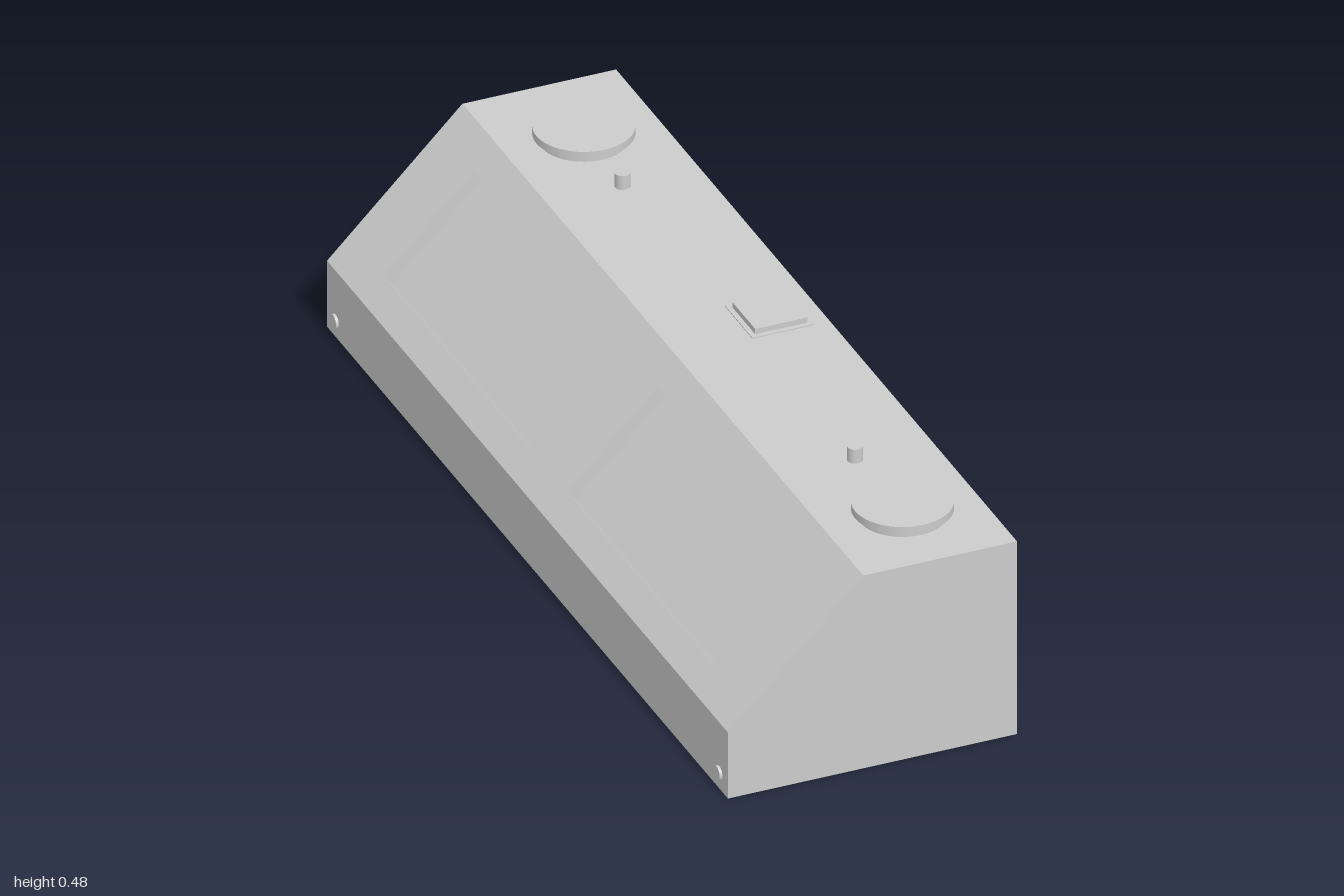
import * as THREE from 'three';

const TOP = 0.447;
const material = new THREE.MeshStandardMaterial({ color: 0xcccccc });

function add(parent, name, geometry, x, y, z) {
  const mesh = new THREE.Mesh(geometry, material);
  mesh.name = name;
  mesh.position.set(x, y, z);
  parent.add(mesh);
  return mesh;
}

// Console shell: wedge cross-section run along z, with two recesses in the slope
function shellGeometry() {
  const pos = [];
  const tri = (...corners) => corners.forEach(c => pos.push(...c));

  // Faces following a counter-clockwise profile from z0 to z1
  const strip = (points, z0, z1) => {
    for (let i = 0; i + 1 < points.length; i++) {
      const a = points[i], b = points[i + 1];
      tri([...a, z0], [...b, z0], [...b, z1]);
      tri([...a, z0], [...b, z1], [...a, z1]);
    }
  };
  // Flat convex end at z, facing +z or -z
  const cap = (points, z, facing) => {
    for (let i = 1; i + 1 < points.length; i++) {
      const p = points[0], q = points[i], r = points[i + 1];
      if (facing > 0) tri([...p, z], [...q, z], [...r, z]);
      else tri([...p, z], [...r, z], [...q, z]);
    }
  };

  const slopeTop = [-0.018, TOP], slopeBottom = [-0.312, 0.153];
  const outline = [slopeBottom, [-0.312, 0], [0.316, 0], [0.316, TOP], slopeTop];
  const onSlope = x => [x, x + 0.465];
  const sink = ([x, y]) => [x + 0.022, y - 0.022];
  const upper = onSlope(-0.068), lower = onSlope(-0.265);
  const notch = [upper, sink(upper), sink(lower), lower];

  strip(outline, -1, 1);
  cap(outline, 1, 1);
  cap(outline, -1, -1);

  // Slope borders above, below and between the recesses
  strip([slopeTop, upper], -1, 1);
  strip([lower, slopeBottom], -1, 1);
  for (const [z0, z1] of [[-1, -0.828], [-0.087, 0.087], [0.828, 1]]) strip([upper, lower], z0, z1);

  // Recess walls and floors
  for (const [z0, z1] of [[-0.828, -0.087], [0.087, 0.828]]) {
    strip(notch, z0, z1);
    cap([...notch].reverse(), z0, 1);
    cap([...notch].reverse(), z1, -1);
  }

  const geometry = new THREE.BufferGeometry();
  geometry.setAttribute('position', new THREE.Float32BufferAttribute(pos, 3));
  geometry.computeVertexNormals();
  return geometry;
}

export function createModel() {
  const model = new THREE.Group();
  model.name = 'console';
  add(model, 'shell', shellGeometry(), 0, 0, 0);

  // Round platters on short pedestals
  for (const z of [-0.78, 0.81]) {
    const dial = new THREE.Group();
    dial.name = 'dial';
    dial.position.set(0.15, TOP, z);
    add(dial, 'dialBase', new THREE.CylinderGeometry(0.091, 0.091, 0.013, 48), 0, 0.0065, 0);
    add(dial, 'dialTop', new THREE.CylinderGeometry(0.103, 0.103, 0.017, 48), 0, 0.0215, 0);
    model.add(dial);
  }

  for (const side of [-1, 1]) {
    // Small upright pegs
    add(model, 'peg', new THREE.CylinderGeometry(0.016, 0.016, 0.032, 24), 0.147, TOP + 0.016, side * 0.58);
    // Buttons on the low vertical face
    const button = add(model, 'button', new THREE.CylinderGeometry(0.016, 0.016, 0.006, 24), -0.315, 0.036, side * 0.957);
    button.rotation.z = Math.PI / 2;
  }

  // Square key on a thin plate
  add(model, 'keyPlate', new THREE.BoxGeometry(0.136, 0.002, 0.136), 0.215, TOP + 0.001, 0);
  add(model, 'key', new THREE.BoxGeometry(0.114, 0.013, 0.114), 0.215, TOP + 0.0075, 0);

  return model;
}
